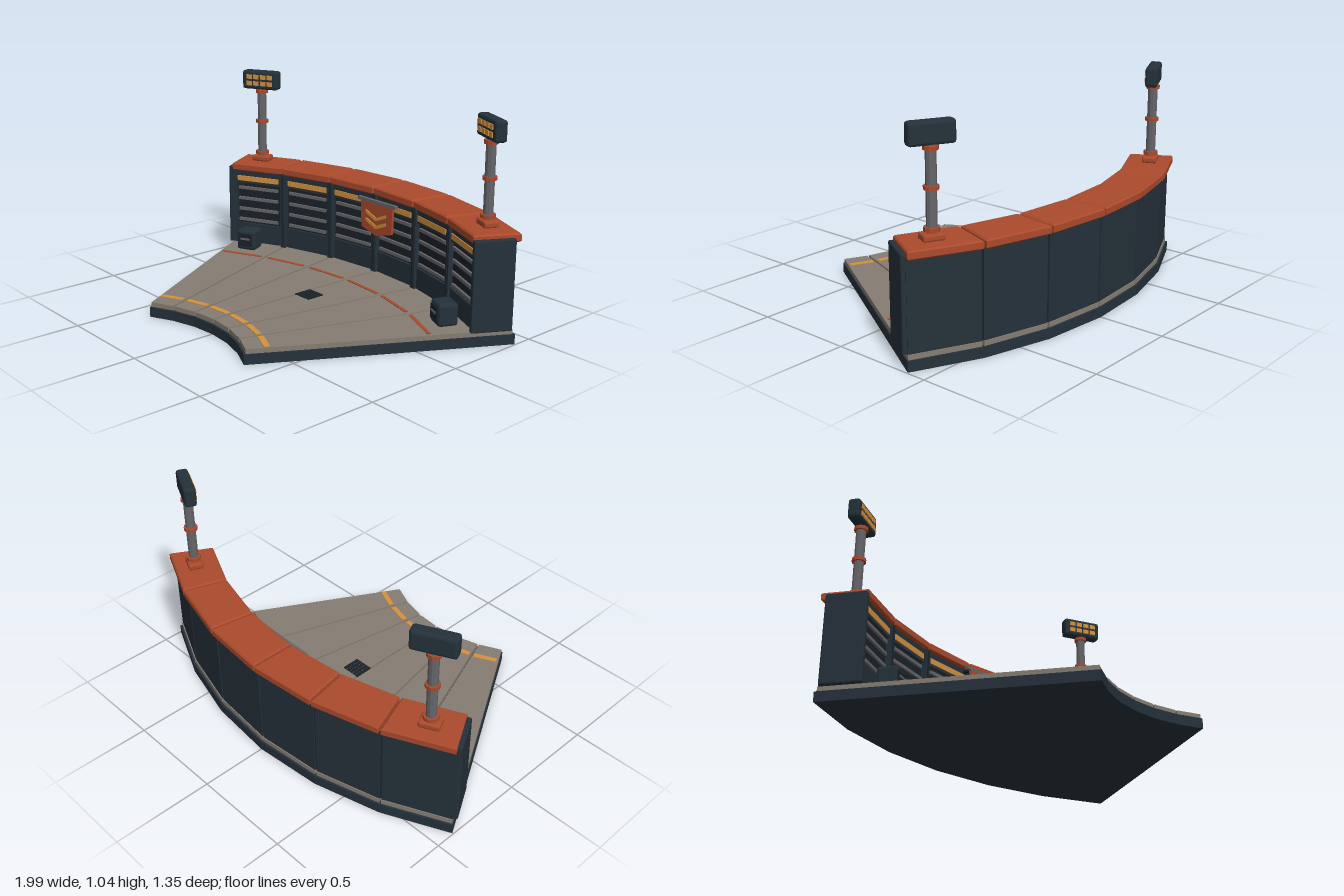
import * as THREE from 'three';
import { RoundedBoxGeometry } from 'three/addons/geometries/RoundedBoxGeometry.js';

const mat = (name, color) => {
  const m = new THREE.MeshStandardMaterial({ color, flatShading: true });
  m.name = name;
  return m;
};
const navy = mat('dark slate', 0x25313a);
const black = mat('near black', 0x1a2229);
const rust = mat('rust red', 0xab4a2c);
const stone = mat('warm stone', 0x857d72);
const amber = mat('amber', 0xd4913f);
const steel = mat('steel grey', 0x66666a);

const CENTRE = 1.32;            // z of the arc's centre
const STEP = Math.PI / 18;      // each bay spans ten degrees
const HALF = STEP / 2;

function add(parent, name, geometry, material, x = 0, y = 0, z = 0) {
  const mesh = new THREE.Mesh(geometry, material);
  mesh.name = name;
  mesh.position.set(x, y, z);
  parent.add(mesh);
  return mesh;
}
const box = (w, h, d) => new THREE.BoxGeometry(w, h, d);
const chamferBox = (w, h, d, r) => new RoundedBoxGeometry(w, h, d, 1, r);

// Group turned about the arc's centre; inside it -z points outward
function arcGroup(parent, name, angle) {
  const g = new THREE.Group();
  g.name = name;
  g.position.z = CENTRE;
  g.rotation.y = -angle;
  parent.add(g);
  return g;
}

// One bay of the ring as a trapezoid prism, with a bevel if wanted
function wedge(r0, r1, y0, y1, gap, bevel = 0) {
  const d0 = r0 * Math.cos(HALF), d1 = r1 * Math.cos(HALF);
  const w0 = d0 * Math.tan(HALF) - gap, w1 = d1 * Math.tan(HALF) - gap;
  const s = new THREE.Shape([[-w0, d0], [w0, d0], [w1, d1], [-w1, d1]].map(p => new THREE.Vector2(...p)));
  const g = new THREE.ExtrudeGeometry(s, {
    depth: y1 - y0 - 2 * bevel, bevelEnabled: bevel > 0, bevelSegments: 1,
    bevelSize: bevel, bevelThickness: bevel, bevelOffset: -bevel,
  });
  return g.rotateX(-Math.PI / 2).translate(0, y0 + bevel, 0);
}

function plate(points, depth) {
  const s = new THREE.Shape(points.map(p => new THREE.Vector2(...p)));
  return new THREE.ExtrudeGeometry(s, { depth, bevelEnabled: false });
}

function buildBay(parent, angle) {
  const bay = arcGroup(parent, 'bay', angle);
  // Floor
  add(bay, 'floorBase', wedge(0.745, 1.99, 0, 0.049, 0), navy);
  add(bay, 'floorSlab', wedge(0.755, 1.98, 0.049, 0.072, 0.005), stone);
  add(bay, 'outerFloorStripe', box(0.235, 0.004, 0.017), rust, 0, 0.0735, -1.585);
  add(bay, 'innerFloorStripe', box(0.122, 0.004, 0.028), amber, 0, 0.0735, -0.848);
  // Wall
  add(bay, 'wall', wedge(1.81, 1.975, 0.072, 0.495, 0.005), navy);
  add(bay, 'lowerPanel', box(0.262, 0.108, 0.02), navy, 0, 0.13, -1.796);
  add(bay, 'louvreRecess', box(0.262, 0.23, 0.006), black, 0, 0.3, -1.801);
  add(bay, 'header', box(0.27, 0.075, 0.02), navy, 0, 0.453, -1.796);
  for (let i = 0; i < 4; i++) {
    add(bay, 'slat', box(0.24, 0.016, 0.014), steel, 0, 0.205 + i * 0.061, -1.793);
  }
  add(bay, 'lightStrip', box(0.252, 0.028, 0.009), amber, 0, 0.444, -1.785);
  // Coping
  add(bay, 'coping', wedge(1.775, 2.0, 0.488, 0.53, 0.006, 0.007), rust);
}

function buildLightTower(parent, side) {
  const tower = new THREE.Group();
  tower.name = 'lightTower';
  tower.position.set(side * 0.82, 0, -0.385);
  tower.rotation.y = -side * 0.448;
  parent.add(tower);
  add(tower, 'foot', chamferBox(0.1, 0.032, 0.075, 0.009), rust, 0, 0.546, 0);
  add(tower, 'post', new THREE.CylinderGeometry(0.024, 0.024, 0.42, 10), steel, 0, 0.745, 0);
  for (const [y, r] of [[0.578, 0.036], [0.755, 0.034], [0.922, 0.034]]) {
    add(tower, 'collar', new THREE.CylinderGeometry(r, r, 0.018, 10), rust, 0, y, 0);
  }
  add(tower, 'lampHead', chamferBox(0.21, 0.102, 0.06, 0.013), navy, 0, 0.985, 0);
  for (let i = 0; i < 4; i++) {
    for (const y of [0.967, 1.003]) {
      add(tower, 'lamp', box(0.031, 0.024, 0.008), amber, (i - 1.5) * 0.041, y, 0.031);
    }
  }
}

function buildCrate(parent, side) {
  const crate = new THREE.Group();
  crate.name = 'crate';
  crate.position.set(side * 0.73, 0.072, -0.215);
  crate.rotation.y = -side * 0.436;
  parent.add(crate);
  add(crate, 'crateBody', chamferBox(0.108, 0.112, 0.098, 0.014), navy, 0, 0.056, 0);
  add(crate, 'crateFront', box(0.078, 0.07, 0.008), black, 0, 0.058, 0.05);
  add(crate, 'crateHandle', box(0.055, 0.01, 0.009), steel, 0, 0.065, 0.054);
}

function buildBanner(parent) {
  const banner = new THREE.Group();
  banner.name = 'banner';
  banner.position.set(0.075, 0, -0.415);
  parent.add(banner);
  add(banner, 'bannerRod', box(0.27, 0.016, 0.018), steel, 0, 0.472, 0);
  for (const x of [-0.1, 0.1]) add(banner, 'rodBracket', box(0.014, 0.014, 0.05), black, x, 0.472, -0.03);
  add(banner, 'cloth', plate([
    [-0.115, 0.465], [-0.108, 0.325], [0, 0.294], [0.108, 0.325], [0.115, 0.465],
  ], 0.014), rust, 0, 0, -0.006);
  for (const y of [0.332, 0.374]) {
    add(banner, 'chevron', plate([
      [-0.072, 0.03], [0, 0], [0.072, 0.03], [0.072, 0.048], [0, 0.018], [-0.072, 0.048],
    ], 0.005), amber, 0, y, 0.008);
  }
}

export function createModel() {
  const model = new THREE.Group();
  model.name = 'curvedStage';

  for (let i = 0; i < 6; i++) buildBay(model, (i - 2.5) * STEP);

  // Ribs covering the joints between bays
  for (let i = -3; i <= 3; i++) {
    const joint = arcGroup(model, 'joint', i * STEP);
    const inset = -Math.sign(i) * (Math.abs(i) === 3 ? 0.016 : 0);
    add(joint, 'frontRib', box(0.032, 0.42, 0.04), navy, inset, 0.282, -1.802);
    if (Math.abs(i) < 3) {
      add(joint, 'ribGroove', box(0.008, 0.41, 0.006), black, 0, 0.28, -1.781);
      add(joint, 'jointCore', box(0.014, 0.415, 0.15), black, 0, 0.28, -1.893);
    }
  }

  for (const side of [-1, 1]) {
    const end = arcGroup(model, 'wallEnd', side * 3 * STEP);
    add(end, 'endPanel', chamferBox(0.03, 0.438, 0.197, 0.006), navy, side * 0.001, 0.291, -1.872);
    buildLightTower(model, side);
    buildCrate(model, side);
  }

  buildBanner(model);

  // Floor drain
  const drain = new THREE.Group();
  drain.name = 'floorDrain';
  drain.position.set(0.048, 0.0735, 0.018);
  model.add(drain);
  for (let i = -2; i <= 2; i++) add(drain, 'drainBar', box(0.016, 0.006, 0.096), black, i * 0.021, 0, 0);

  return model;
}
